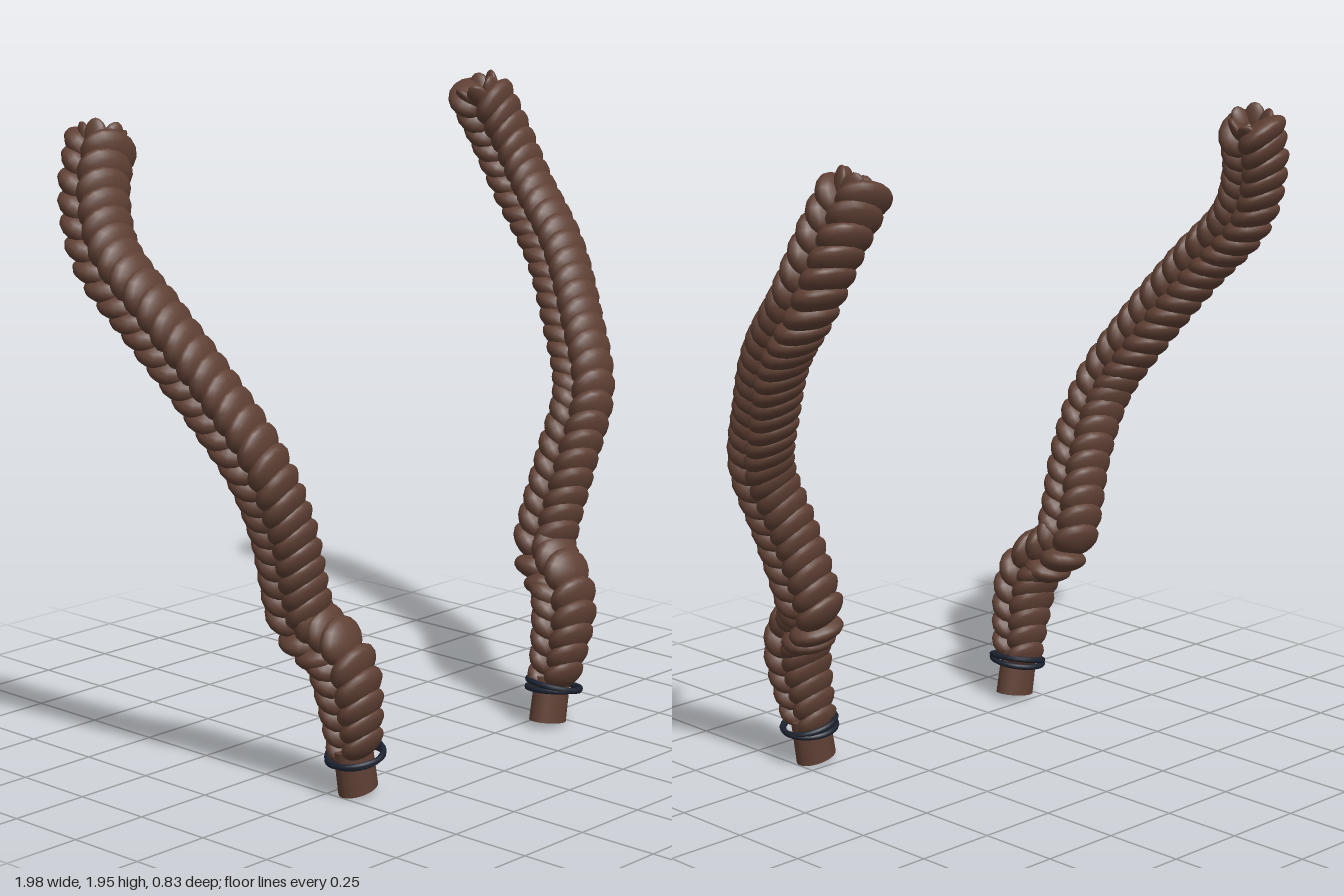
import * as THREE from 'three';
import { mergeGeometries } from 'three/addons/utils/BufferGeometryUtils.js';

const hair = new THREE.MeshStandardMaterial({ color: 0x5f4034 });
hair.name = 'brownHair';
const band = new THREE.MeshStandardMaterial({ color: 0x1c2230 });
band.name = 'darkBand';

// Centreline of the braid on the +x side, from the tied end upward
const PATH = [
  [0.45, 0.14, 0.315], [0.47, 0.25, 0.322], [0.49, 0.36, 0.32], [0.505, 0.435, 0.295],
  [0.52, 0.475, 0.24], [0.54, 0.52, 0.2], [0.565, 0.6, 0.195], [0.63, 0.8, 0.21], [0.72, 1.0, 0.2],
  [0.795, 1.2, 0.09], [0.87, 1.4, -0.05], [0.905, 1.58, -0.21], [0.875, 1.75, -0.285], [0.82, 1.87, -0.315],
];

// One plump lock: an ellipsoid that thins slightly toward its outer end
function lockGeometry() {
  const g = new THREE.SphereGeometry(1, 16, 12);
  const p = g.attributes.position;
  for (let i = 0; i < p.count; i++) {
    p.setY(i, p.getY(i) * (1 - 0.2 * p.getX(i)));
  }
  g.computeVertexNormals();
  return g;
}

// Frame on the curve: along it, across the braid, and through its thickness
function frameAt(curve, u) {
  const along = curve.getTangentAt(u);
  const across = new THREE.Vector3(1, 0, 0).cross(along).normalize();
  const depth = new THREE.Vector3().crossVectors(along, across).normalize();
  return { pos: curve.getPointAt(u), along, across, depth };
}

// Places a lock with its long axis pointing along dir
function placeLock(base, pos, dir, depth, size) {
  const x = dir.clone().normalize();
  const z = depth.clone().addScaledVector(x, -depth.dot(x)).normalize();
  const y = new THREE.Vector3().crossVectors(z, x);
  const m = new THREE.Matrix4().makeBasis(x, y, z).setPosition(pos);
  return base.clone().scale(...size).applyMatrix4(m);
}

function createBraid(mirror, name) {
  const braid = new THREE.Group();
  braid.name = name;
  const curve = new THREE.CatmullRomCurve3(PATH.map(([x, y, z]) => new THREE.Vector3(x * mirror, y, z)));
  const base = lockGeometry();
  const locks = [];

  // Woven locks, alternating from side to side, pinched at the band and slimmer midway
  const count = Math.round(curve.getLength() / 0.029);
  for (let i = 0; i <= count; i++) {
    const u = i / count;
    const f = frameAt(curve, u);
    const side = i % 2 ? 1 : -1;
    const pinch = Math.min(1, 0.8 + i * 0.03);
    const thick = (0.092 - 0.01 * Math.sin(Math.PI * u)) * pinch;
    const dir = f.across.clone().multiplyScalar(side * 0.62).addScaledVector(f.along, 0.78);
    const pos = f.pos.clone().addScaledVector(f.across, side * 0.042 * pinch);
    locks.push(placeLock(base, pos, dir, f.depth, [0.072 * pinch, 0.042 * pinch, thick]));
  }
  const woven = new THREE.Mesh(mergeGeometries(locks), hair);
  woven.name = 'wovenLocks';
  braid.add(woven);

  // Loose strand ends at the top
  const end = frameAt(curve, 1);
  const tips = [];
  for (let i = 0; i < 6; i++) {
    const a = (i / 6) * Math.PI * 2;
    const out = end.across.clone().multiplyScalar(Math.cos(a)).addScaledVector(end.depth, Math.sin(a));
    const dir = out.clone().multiplyScalar(0.45).add(end.along);
    const pos = end.pos.clone().addScaledVector(out, 0.045).addScaledVector(end.along, 0.012);
    tips.push(placeLock(base, pos, dir, end.along.clone().cross(out), [0.05, 0.02, 0.034]));
  }
  const loose = new THREE.Mesh(mergeGeometries(tips), hair);
  loose.name = 'looseEnds';
  braid.add(loose);

  // Straight tail below the band, oval in section
  const tail = new THREE.Mesh(new THREE.CylinderGeometry(0.066, 0.068, 0.14, 24), hair);
  tail.name = 'tail';
  tail.scale.z = 0.72;
  tail.position.set(0.442 * mirror, 0.08, 0.31);
  tail.rotation.z = -0.17 * mirror;
  braid.add(tail);

  // Hair band of two crossing loops
  for (const tilt of [-1, 1]) {
    const loop = new THREE.Mesh(new THREE.TorusGeometry(0.082, 0.009, 8, 32), band);
    loop.name = 'hairBand';
    loop.position.set(0.45 * mirror, 0.12 + tilt * 0.005, 0.317);
    loop.rotation.set(Math.PI / 2 + tilt * 0.07, -mirror * (0.18 + tilt * 0.06), 0);
    braid.add(loop);
  }
  return braid;
}

export function createModel() {
  const model = new THREE.Group();
  model.name = 'braids';
  model.add(createBraid(1, 'leftBraid'), createBraid(-1, 'rightBraid'));
  return model;
}
